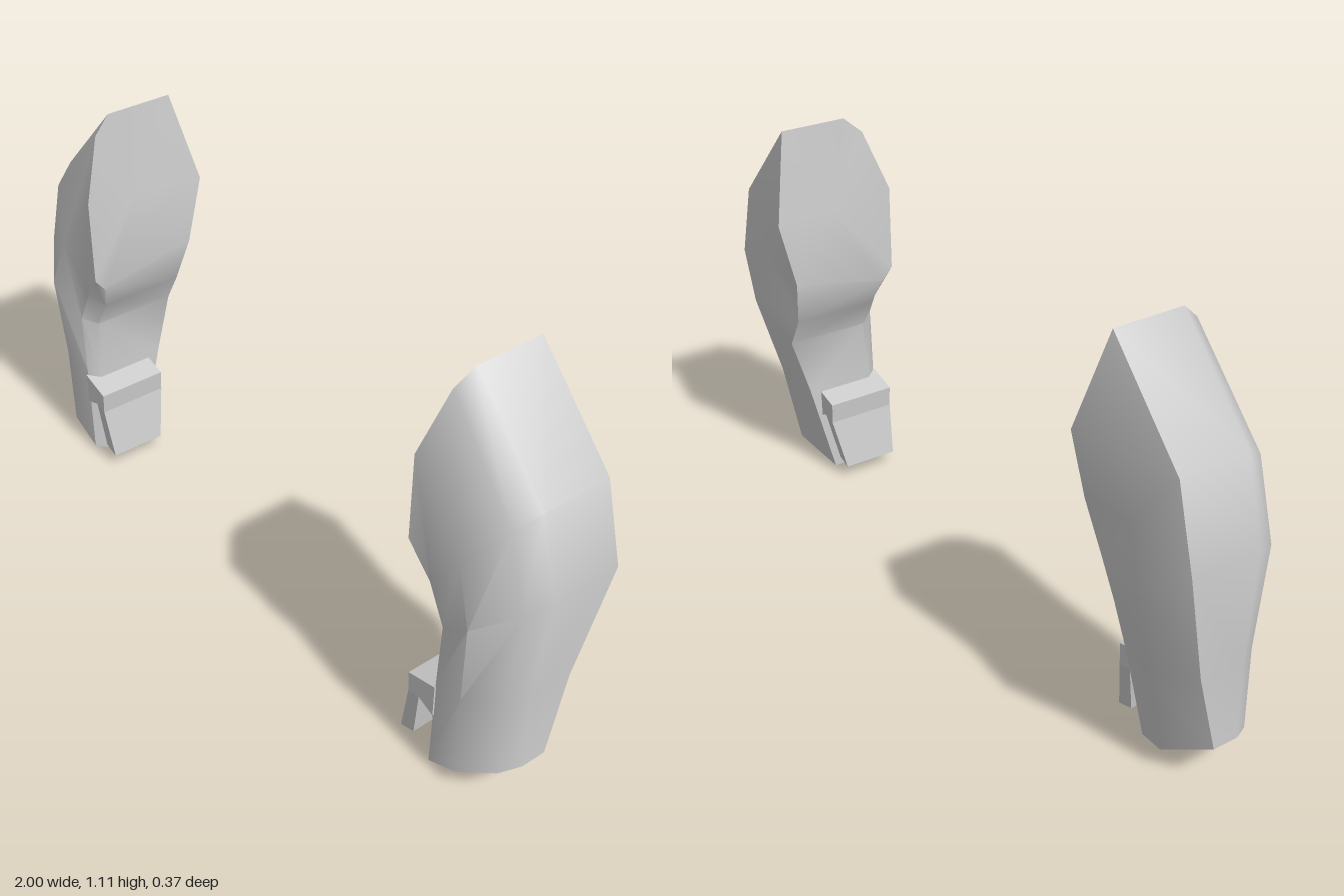
import * as THREE from 'three';
import { toCreasedNormals } from 'three/addons/utils/BufferGeometryUtils.js';

const material = new THREE.MeshStandardMaterial({ color: 0xcccccc, side: THREE.DoubleSide });

// Position of the eight ring corners between the outer (0) and inner (1) edge
const shoulderSpread = [0, 0, 0.09, 0.43, 0.92, 1, 0.88, 0.5];
const armSpread = [0, 0, 0.12, 0.5, 0.9, 1, 1, 0.5];

// Slanted cross-sections from shoulder to fist; z runs outer back, round the front, to the back
const sections = [
  { outer: [0.71, 1.11], inner: [0.66, 0.62], bulge: 0.03, z: [-0.13, 0.06, 0.11, 0.17, 0.17, 0.14, -0.14, -0.185] },
  { outer: [0.94, 0.87], inner: [0.7, 0.54], bulge: 0, z: [-0.13, 0.06, 0.12, 0.17, 0.16, 0.12, -0.12, -0.15] },
  { outer: [1.0, 0.66], inner: [0.75, 0.45], bulge: 0, z: [-0.13, 0.06, 0.12, 0.185, 0.16, 0.12, -0.12, -0.165] },
  { outer: [0.975, 0.35], inner: [0.745, 0.28], bulge: 0, z: [-0.055, 0.07, 0.12, 0.17, 0.16, 0.13, -0.07, -0.1] },
  { outer: [0.98, 0.13], inner: [0.74, 0.0], bulge: 0, z: [0, 0.07, 0.12, 0.165, 0.16, 0.12, 0, -0.05] },
];

// Arm skin lofted through the sections, closed at both ends
function armGeometry(side) {
  const positions = [];
  const index = [];
  const lerp = THREE.MathUtils.lerp;
  const tri = (a, b, c) => index.push(...(side > 0 ? [a, b, c] : [a, c, b]));
  sections.forEach(({ outer, inner, bulge, z }, k) => {
    const spread = k === 0 ? shoulderSpread : armSpread;
    spread.forEach((u, i) => positions.push(
      side * (lerp(outer[0], inner[0], u) - bulge * Math.sin(Math.PI * u)),
      lerp(outer[1], inner[1], u), z[i]));
  });
  const n = armSpread.length;
  const last = (sections.length - 1) * n;
  const top = sections.length * n;
  positions.push(side * 0.695, 0.86, 0, side * 0.86, 0.065, 0.07);
  for (let i = 0; i < n; i++) {
    const j = (i + 1) % n;
    for (let r = 0; r < last; r += n) {
      tri(r + i, r + j, r + n + j);
      tri(r + i, r + n + j, r + n + i);
    }
    tri(top, j, i);
    tri(top + 1, last + i, last + j);
  }
  const geometry = new THREE.BufferGeometry();
  geometry.setAttribute('position', new THREE.Float32BufferAttribute(positions, 3));
  geometry.setIndex(index);
  return toCreasedNormals(geometry, 0.75);
}

// Bent plate thumb, narrowing toward the tip
function thumbGeometry(side) {
  const outline = [[0.77, 0.275], [0.745, 0.268], [0.68, 0.25], [0.683, 0.19],
    [0.655, 0.04], [0.7, 0.054], [0.72, 0.2], [0.77, 0.18]];
  const shape = new THREE.Shape(outline.map(([x, y]) => new THREE.Vector2(side * x, y)));
  const geometry = new THREE.ExtrudeGeometry(shape, { depth: 0.2, bevelEnabled: false });
  geometry.translate(0, 0, -0.035);
  const p = geometry.attributes.position;
  for (let i = 0; i < p.count; i++) {
    if (p.getY(i) < 0.1) p.setZ(i, 0.075 + (p.getZ(i) - 0.065) * 0.8);
  }
  geometry.computeVertexNormals();
  return geometry;
}

export function createModel() {
  const model = new THREE.Group();
  model.name = 'armPair';
  for (const [name, side] of [['leftArm', 1], ['rightArm', -1]]) {
    const arm = new THREE.Group();
    arm.name = name;
    const skin = new THREE.Mesh(armGeometry(side), material);
    skin.name = 'shoulderAndForearm';
    const thumb = new THREE.Mesh(thumbGeometry(side), material);
    thumb.name = 'thumb';
    arm.add(skin, thumb);
    model.add(arm);
  }
  return model;
}
